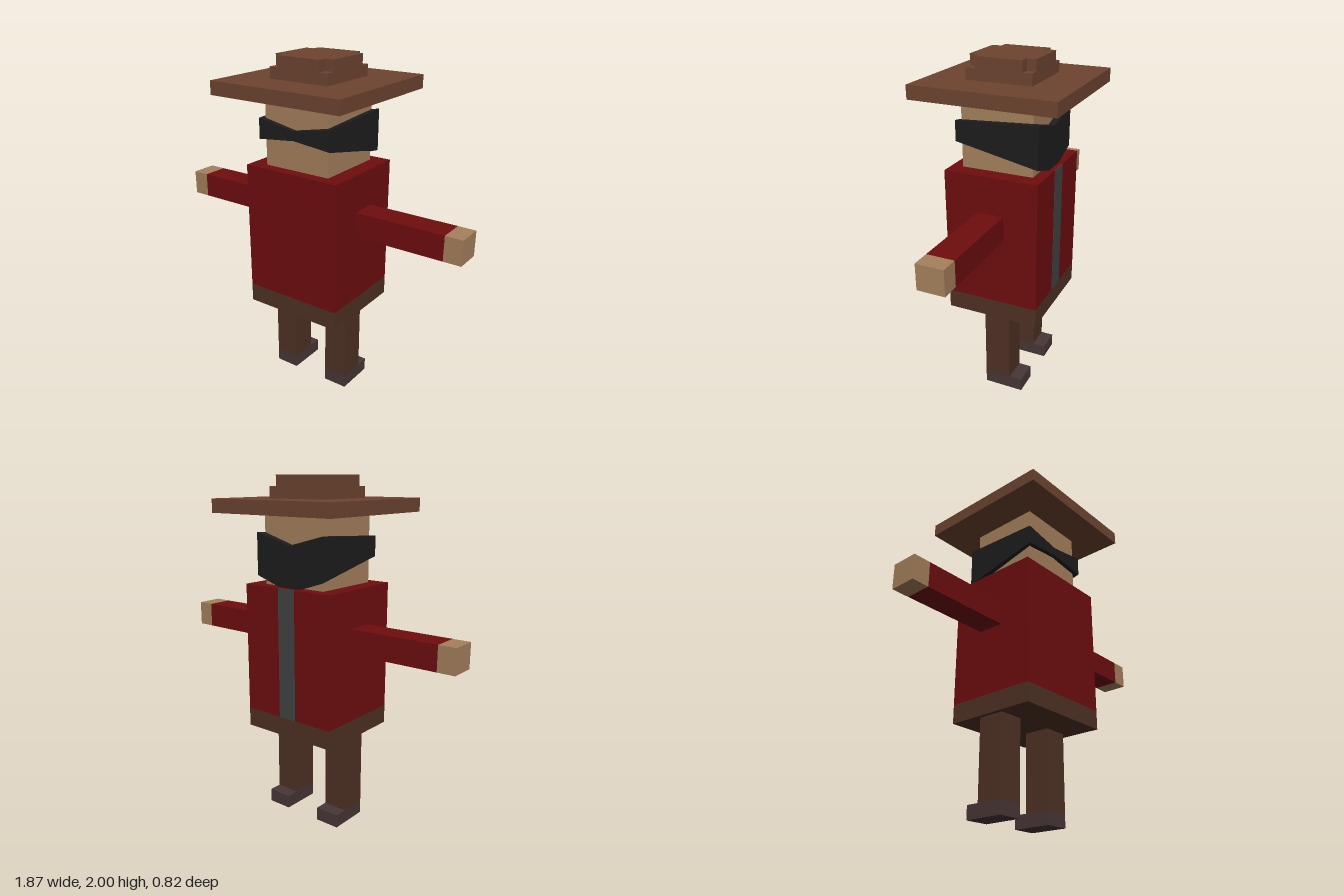
import * as THREE from 'three';

const mat = (color, extra = {}) => new THREE.MeshStandardMaterial({ color, flatShading: true, ...extra });

export function createModel() {
  const model = new THREE.Group();
  const red = mat(0x6e0d0e), skin = mat(0xa5805c), hatBrown = mat(0x6d4430);
  const trouser = mat(0x4e3124), shoe = mat(0x483636), grey = mat(0x424242);
  const black = mat(0x1d1d1d);

  const add = (name, geometry, material) => {
    const mesh = new THREE.Mesh(geometry, material);
    mesh.name = name;
    model.add(mesh);
    return mesh;
  };
  // Box given by its extents along each axis
  const box = (name, material, [x0, x1], [y0, y1], [z0, z1]) =>
    add(name, new THREE.BoxGeometry(x1 - x0, y1 - y0, z1 - z0), material)
      .position.set((x0 + x1) / 2, (y0 + y1) / 2, (z0 + z1) / 2);

  // Torso, waistband and the strip down the -z side
  box('torso', red, [-0.302, 0.302], [0.645, 1.398], [-0.273, 0.275]);
  box('waistband', trouser, [-0.302, 0.302], [0.535, 0.645], [-0.273, 0.275]);
  box('shirtStrip', grey, [-0.058, 0.058], [0.645, 1.398], [-0.275, -0.27]);

  // Arms and hands
  for (const [side, s] of [['left', 1], ['right', -1]]) {
    const span = (a, b) => (s > 0 ? [a, b] : [-b, -a]);
    box(side + 'Arm', red, span(0.302, 0.833), [1.04, 1.184], [-0.077, 0.079]);
    box(side + 'Hand', skin, span(0.833, 0.935), [1.04, 1.184], [-0.077, 0.079]);
  }

  // Legs and shoes, toes towards -z
  for (const [side, x] of [['left', [0.098, 0.245]], ['right', [-0.277, -0.13]]]) {
    box(side + 'Leg', trouser, x, [0.078, 0.535], [-0.085, 0.073]);
    box(side + 'Shoe', shoe, x, [0, 0.078], [-0.163, 0.073]);
  }

  // Head
  box('head', skin, [-0.208, 0.208], [1.398, 1.797], [-0.207, 0.21]);

  // Mask: a closed band around the head, each section [x, z, bottom, top]
  const ring = [
    [0, 0.235, 1.572, 1.625], [0.235, 0.235, 1.548, 1.665],
    [0.235, -0.245, 1.45, 1.69], [0, -0.245, 1.375, 1.63],
    [-0.235, -0.245, 1.45, 1.69], [-0.235, 0.235, 1.548, 1.665],
  ];
  const positions = [], index = [];
  ring.forEach(([x, z, low, high], i) => {
    const xi = Math.sign(x) * 0.207, zi = z > 0 ? 0.208 : -0.206;
    positions.push(x, low, z, x, high, z, xi, high, zi, xi, low, zi);
    const n = (i + 1) % ring.length;
    for (let k = 0; k < 4; k++) {
      const a = i * 4 + k, b = n * 4 + k;
      const c = n * 4 + (k + 1) % 4, d = i * 4 + (k + 1) % 4;
      index.push(a, b, c, a, c, d);
    }
  });
  const maskGeo = new THREE.BufferGeometry();
  maskGeo.setAttribute('position', new THREE.Float32BufferAttribute(positions, 3));
  maskGeo.setIndex(index);
  const flatMask = maskGeo.toNonIndexed();
  flatMask.computeVertexNormals();
  add('mask', flatMask, black);

  // Hat: brim, crown base and crown top with notched corners
  box('hatBrim', hatBrown, [-0.412, 0.412], [1.797, 1.874], [-0.412, 0.412]);
  const r = 0.188, q = 0.135;
  box('hatCrownBase', hatBrown, [-r, r], [1.874, 1.938], [-r, r]);
  const outline = [
    [r, -q], [r, q], [q, q], [q, r], [-q, r], [-q, q],
    [-r, q], [-r, -q], [-q, -q], [-q, -r], [q, -r], [q, -q],
  ].map(([x, y]) => new THREE.Vector2(x, y));
  const crown = new THREE.ExtrudeGeometry(new THREE.Shape(outline), { depth: 0.062, bevelEnabled: false });
  crown.rotateX(-Math.PI / 2);
  add('hatCrownTop', crown, hatBrown).position.y = 1.938;

  return model;
}
